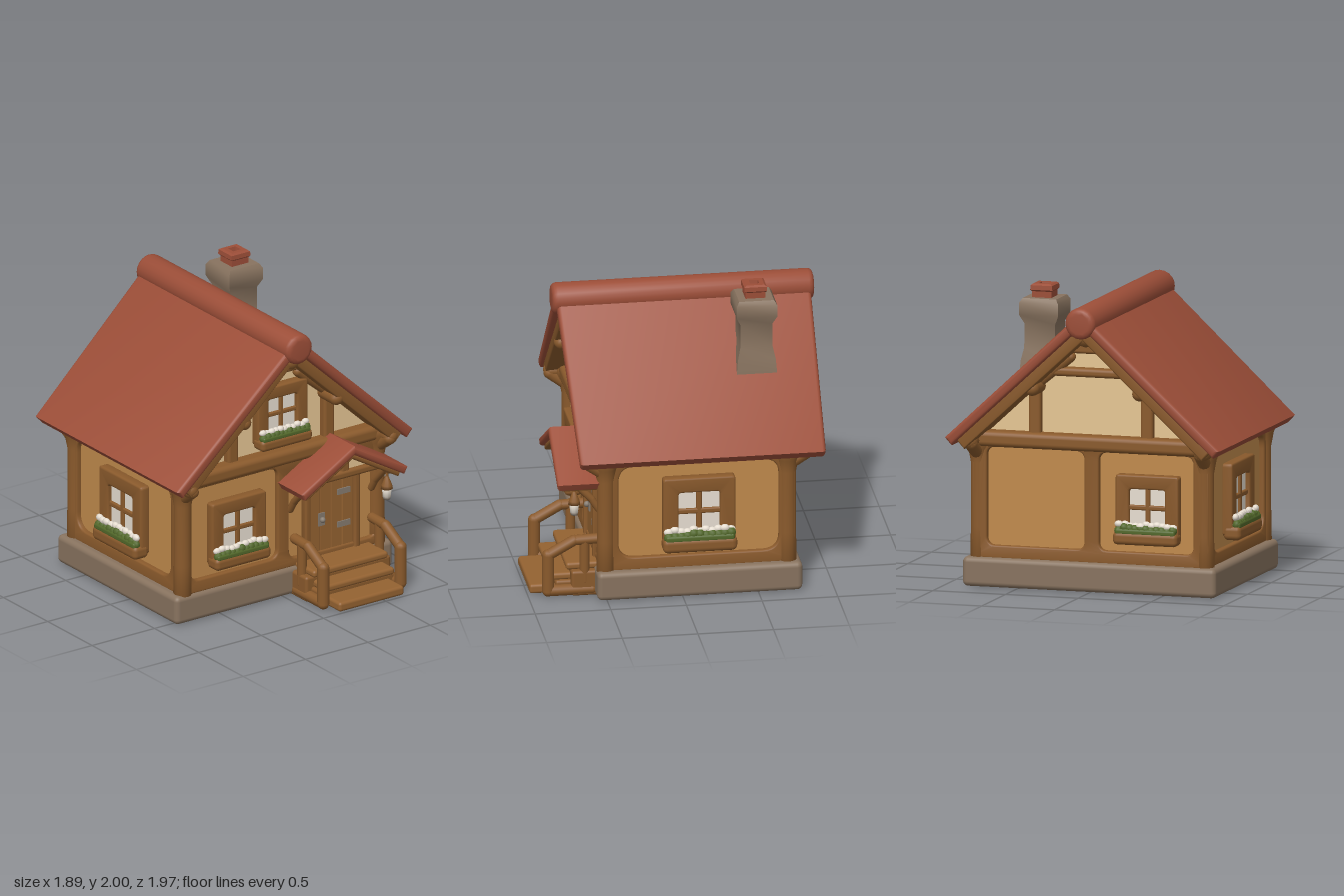
import * as THREE from 'three';
import { toCreasedNormals } from 'three/addons/utils/BufferGeometryUtils.js';
import { RoundedBoxGeometry } from 'three/addons/geometries/RoundedBoxGeometry.js';

const paint = (name, color) => {
  const m = new THREE.MeshStandardMaterial({ color });
  m.name = name;
  return m;
};
const M = {
  roof: paint('roof red', 0x9c4e38), timber: paint('timber brown', 0x8a5a2c),
  door: paint('door wood', 0x946231), plaster: paint('ochre plaster', 0xc08a4c),
  cream: paint('cream plaster', 0xe6c694), stone: paint('grey stone', 0x88735f),
  leaf: paint('leaf green', 0x52682a), white: paint('petal and pane white', 0xe8dfd2),
  metal: paint('iron grey', 0x857b70),
};

function add(parent, name, geo, mat, x = 0, y = 0, z = 0) {
  const m = new THREE.Mesh(geo, mat);
  m.name = name;
  m.position.set(x, y, z);
  parent.add(m);
  return m;
}

function group(parent, name, x = 0, y = 0, z = 0, turn = 0) {
  const g = new THREE.Group();
  g.name = name;
  g.position.set(x, y, z);
  g.rotation.y = turn;
  parent.add(g);
  return g;
}

// Soft-edged box given by its limits
function block(parent, name, mat, [x0, x1], [y0, y1], [z0, z1], r = 0.02) {
  const w = x1 - x0, h = y1 - y0, d = z1 - z0;
  const geo = new RoundedBoxGeometry(w, h, d, 3, Math.min(r, w / 2.1, h / 2.1, d / 2.1));
  return add(parent, name, geo, mat, (x0 + x1) / 2, (y0 + y1) / 2, (z0 + z1) / 2);
}

// Round bar between two points
function bar(parent, name, mat, a, b, r) {
  const A = new THREE.Vector3(...a), B = new THREE.Vector3(...b);
  const dir = B.clone().sub(A);
  const m = add(parent, name, new THREE.CapsuleGeometry(r, dir.length(), 5, 12), mat);
  m.position.copy(A).lerp(B, 0.5);
  m.quaternion.setFromUnitVectors(new THREE.Vector3(0, 1, 0), dir.normalize());
  return m;
}

// Outline extruded from z0 to z1 with a soft bevel
function prism(shape, z0, z1, b = 0.012) {
  const g = new THREE.ExtrudeGeometry(shape, {
    depth: z1 - z0 - 2 * b, bevelEnabled: b > 0, bevelSize: b, bevelThickness: b,
    bevelOffset: -b, bevelSegments: 3, curveSegments: 10,
  });
  g.translate(0, 0, z0 + b);
  return toCreasedNormals(g, 0.7);
}

const poly = pts => new THREE.Shape(pts.map(p => new THREE.Vector2(...p)));

function roundRect(x0, x1, y0, y1, r, Type = THREE.Shape) {
  const s = new Type();
  s.moveTo(x0 + r, y0).lineTo(x1 - r, y0).quadraticCurveTo(x1, y0, x1, y0 + r)
    .lineTo(x1, y1 - r).quadraticCurveTo(x1, y1, x1 - r, y1)
    .lineTo(x0 + r, y1).quadraticCurveTo(x0, y1, x0, y1 - r)
    .lineTo(x0, y0 + r).quadraticCurveTo(x0, y0, x0 + r, y0);
  return s;
}

// Timber sheet with rounded openings, each [x0, x1, y0, y1]
function frame(parent, name, outer, holes, z0, z1, r) {
  const s = roundRect(...outer, 0.02);
  for (const h of holes) s.holes.push(roundRect(...h, r, THREE.Path));
  return add(parent, name, prism(s, z0, z1), M.timber);
}

// Pitched roof section: two slopes of even thickness t
function chevron(cx, apex, ex, ey, t) {
  const len = Math.hypot(ex, apex - ey), dx = ex / len, dy = (ey - apex) / len;
  const ix = ex + dy * t, iy = ey - dx * t;
  return poly([[cx, apex], [cx - ex, ey], [cx - ix, iy], [cx, apex - t / dx], [cx + ix, iy], [cx + ex, ey]]);
}

function lathe(points, sides, square) {
  const k = square ? Math.SQRT2 : 1;
  const g = new THREE.LatheGeometry(points.map(([r, y]) => new THREE.Vector2(r * k, y)), sides, square ? Math.PI / 4 : 0);
  return square ? toCreasedNormals(g, 0.6) : g;
}

// Window facing +z with a planter under it
function makeWindow(parent, name, x, y, z, scale, seed) {
  const g = group(parent, name, x, y, z);
  g.scale.set(scale, scale, 1);
  const rand = () => (seed = (seed * 16807) % 2147483647) / 2147483647;
  frame(g, 'windowFrame', [-0.21, 0.21, -0.21, 0.21], [[-0.12, 0.12, -0.12, 0.12]], -0.01, 0.065, 0.02);
  add(g, 'panes', new THREE.BoxGeometry(0.25, 0.25, 0.008), M.white, 0, 0, 0.03);
  block(g, 'muntin', M.timber, [-0.016, 0.016], [-0.13, 0.13], [0.02, 0.05], 0.01);
  block(g, 'crossMuntin', M.timber, [-0.13, 0.13], [-0.016, 0.016], [0.02, 0.05], 0.01);
  block(g, 'planter', M.timber, [-0.215, 0.215], [-0.235, -0.15], [0, 0.12], 0.03);
  block(g, 'foliage', M.leaf, [-0.2, 0.2], [-0.17, -0.13], [0.02, 0.115], 0.015);
  for (let i = 0; i < 11; i++) {
    const px = -0.18 + i * 0.036;
    const leaf = add(g, 'leaf', new THREE.IcosahedronGeometry(0.03, 1), M.leaf, px, -0.145 + rand() * 0.02, 0.085);
    leaf.scale.z = 0.9;
    const bloom = add(g, 'bloom', new THREE.IcosahedronGeometry(0.022, 1), M.white, px, -0.118 + rand() * 0.018, 0.065 + rand() * 0.02);
    bloom.scale.x = 1.3;
  }
}

export function createModel() {
  const house = new THREE.Group();
  house.name = 'cottage';

  // Foundation and wall core
  block(house, 'plinth', M.stone, [-0.87, 0.87], [0.004, 0.2], [-0.79, 0.565], 0.035);
  add(house, 'floorUnderside', new THREE.BoxGeometry(1.46, 0.008, 1.08), M.timber, 0, 0.004, -0.11);
  block(house, 'wallCore', M.plaster, [-0.78, 0.78], [0.15, 1.0], [-0.72, 0.51], 0.01);

  // Timber framing, wall by wall
  frame(house, 'frontFrame', [-0.8, 0.8, 0.19, 1.03],
    [[-0.735, -0.04, 0.28, 0.92], [0.05, 0.75, 0.25, 0.86]], 0.49, 0.545, 0.07);
  makeWindow(house, 'frontWindow', -0.37, 0.58, 0.51, 1.03, 11);
  for (const s of [-1, 1]) {
    const side = group(house, s > 0 ? 'leftWall' : 'rightWall', s * 0.78, 0, -0.11, s * Math.PI / 2);
    frame(side, 'sideFrame', [-0.64, 0.64, 0.19, 1.0], [[-0.53, 0.53, 0.28, 0.92]], -0.02, 0.035, 0.11);
    makeWindow(side, 'sideWindow', 0, 0.59, 0, 1.14, 23 + s);
  }
  const back = group(house, 'backWall', 0, 0, -0.72, Math.PI);
  frame(back, 'backFrame', [-0.8, 0.8, 0.19, 1.03], [[-0.71, -0.04, 0.28, 0.93], [0.06, 0.71, 0.28, 0.93]], -0.02, 0.035, 0.06);
  makeWindow(back, 'backWindow', 0.4, 0.58, 0, 1.03, 37);

  // Corner posts flaring under the eaves
  const postGeo = lathe([[0, 0.19], [0.062, 0.19], [0.058, 0.4], [0.058, 0.82], [0.075, 0.91], [0.1, 0.97], [0.09, 1.02], [0, 1.02]], 16);
  for (const x of [-0.775, 0.775]) for (const z of [0.5, -0.7]) add(house, 'cornerPost', postGeo, M.timber, x, 0, z);

  // Gables
  add(house, 'gableWall', prism(poly([[-0.78, 1], [0.78, 1], [0, 1.74]]), -0.7, 0.48, 0), M.cream);
  for (const [end, z, turn] of [['front', 0.48, 0], ['back', -0.7, Math.PI]]) {
    const g = group(house, end + 'Gable', 0, 0, z, turn);
    block(g, 'tieBeam', M.timber, [-0.82, 0.82], [0.935, 1.04], [-0.03, 0.1], 0.035);
    for (const s of [-1, 1]) {
      block(g, 'gableStud', M.timber, [s * 0.385 - 0.042, s * 0.385 + 0.042], [1, 1.4], [-0.03, 0.05], 0.02);
      bar(g, 'kneeBrace', M.timber, [s * 0.36, 1.37, 0.03], [s * 0.14, 1.55, 0.03], 0.035);
    }
    if (turn) block(g, 'collarBeam', M.timber, [-0.27, 0.27], [1.42, 1.48], [-0.03, 0.06], 0.025);
    block(g, 'collar', M.timber, [-0.12, 0.12], [1.58, 1.68], [-0.03, 0.08], 0.02);
  }
  makeWindow(house, 'gableWindow', 0, 1.3, 0.48, 0.95, 51);

  // Purlins showing at both ends
  for (const [x, y, r] of [[-0.8, 0.975, 0.055], [0.8, 0.975, 0.055], [-0.37, 1.345, 0.05], [0.37, 1.345, 0.05], [0, 1.7, 0.065]])
    bar(house, 'purlin', M.timber, [x, y, -0.84], [x, y, 0.62], r);
  for (const s of [-1, 1]) for (const [z0, z1] of [[0.52, 0.63], [-0.72, -0.84]])
    bar(house, 'eaveBracket', M.timber, [s * 0.78, 0.88, z0], [s * 0.79, 0.96, z1], 0.045);

  // Main roof, its ends drawn in towards the eaves
  add(house, 'rafters', prism(chevron(0, 1.795, 0.87, 0.99, 0.08), -0.91, 0.665), M.timber);
  const roofGeo = prism(chevron(0, 1.88, 0.945, 1.005, 0.07), -0.965, 0.72, 0.025);
  const p = roofGeo.attributes.position;
  for (let i = 0; i < p.count; i++)
    p.setZ(i, -0.12 + (p.getZ(i) + 0.12) * (1 - 0.04 * Math.abs(p.getX(i))));
  add(house, 'roof', roofGeo, M.roof);
  const ring = new THREE.Shape().absarc(0, 1.808, 0.104, 0, Math.PI * 2);
  add(house, 'ridgeRoll', prism(ring, -0.985, 0.745, 0.035), M.roof);

  // Chimney
  add(house, 'chimney', lathe([[0, 1.38], [0.135, 1.38], [0.125, 1.5], [0.107, 1.58], [0.105, 1.74], [0.134, 1.8], [0.134, 1.88], [0.115, 1.91], [0, 1.91]], 4, true), M.stone, 0.38, 0, -0.54);
  add(house, 'chimneyPot', lathe([[0, 1.9], [0.066, 1.9], [0.066, 1.95], [0.076, 1.96], [0.074, 1.99], [0.06, 2], [0.03, 2], [0.025, 1.97], [0, 1.97]], 4, true), M.roof, 0.38, 0, -0.54);

  // Door
  const door = group(house, 'door', 0.39, 0, 0.51);
  frame(door, 'doorFrame', [-0.22, 0.22, 0.19, 0.84], [[-0.175, 0.175, 0.21, 0.79]], -0.01, 0.05, 0.02);
  for (let i = 0; i < 4; i++)
    block(door, 'doorPlank', M.door, [-0.18 + i * 0.09, -0.091 + i * 0.09], [0.2, 0.8], [-0.01, 0.025], 0.006);
  for (const y of [0.4, 0.63]) add(door, 'hinge', new THREE.BoxGeometry(0.1, 0.04, 0.009), M.metal, 0.1, y, 0.029);
  add(door, 'handlePlate', new THREE.BoxGeometry(0.05, 0.09, 0.009), M.metal, -0.08, 0.47, 0.029);
  add(door, 'handle', new THREE.SphereGeometry(0.02, 12, 8), M.metal, -0.08, 0.47, 0.045);

  // Porch roof with braces
  add(house, 'porchRoof', prism(chevron(0.385, 1.06, 0.425, 0.815, 0.055), 0.5, 0.82, 0.02), M.roof);
  add(house, 'porchRafters', prism(chevron(0.385, 1.0, 0.385, 0.78, 0.035), 0.5, 0.79), M.timber);
  block(house, 'porchTie', M.timber, [0.06, 0.71], [0.8, 0.855], [0.66, 0.72], 0.02);
  add(house, 'porchGable', prism(poly([[0.16, 0.84], [0.61, 0.84], [0.385, 0.965]]), 0.67, 0.69, 0), M.cream);
  block(house, 'porchKingPost', M.timber, [0.35, 0.42], [0.82, 0.97], [0.66, 0.71], 0.02);
  for (const x of [0.06, 0.71]) {
    bar(house, 'porchBeam', M.timber, [x, 0.8, 0.52], [x, 0.8, 0.74], 0.033);
    bar(house, 'porchBrace', M.timber, [x, 0.6, 0.54], [x, 0.67, 0.585], 0.024);
    bar(house, 'porchBrace', M.timber, [x, 0.67, 0.585], [x, 0.79, 0.7], 0.024);
  }

  // Hanging lantern
  const lantern = group(house, 'lantern', 0.72, 0, 0.7);
  bar(lantern, 'lanternHook', M.timber, [0, 0.73, 0], [0, 0.8, 0], 0.01);
  add(lantern, 'lanternCap', lathe([[0, 0.645], [0.04, 0.645], [0.035, 0.67], [0.012, 0.73], [0, 0.74]], 12), M.timber);
  add(lantern, 'lanternGlass', lathe([[0, 0.585], [0.025, 0.585], [0.034, 0.65], [0, 0.65]], 12), M.white);
  add(lantern, 'lanternBase', lathe([[0, 0.565], [0.022, 0.57], [0.028, 0.59], [0, 0.592]], 12), M.metal);

  // Entrance steps
  block(house, 'landing', M.timber, [0.06, 0.74], [0, 0.175], [0.5, 0.72]);
  block(house, 'landingTread', M.door, [0.1, 0.7], [0.17, 0.22], [0.5, 0.75]);
  block(house, 'middleStep', M.timber, [0.1, 0.7], [0, 0.1], [0.6, 0.82]);
  block(house, 'middleTread', M.door, [0.12, 0.68], [0.095, 0.145], [0.6, 0.85]);
  block(house, 'lowerStep', M.door, [0.14, 0.66], [0, 0.065], [0.6, 0.985]);

  // Handrails on both sides
  for (const x of [0.09, 0.71]) {
    bar(house, 'newelPost', M.timber, [x, 0.04, 0.87], [x, 0.29, 0.87], 0.04);
    bar(house, 'footRail', M.timber, [x, 0.04, 0.58], [x, 0.04, 0.85], 0.038);
    bar(house, 'baluster', M.timber, [x, 0.1, 0.63], [x, 0.38, 0.63], 0.032);
    bar(house, 'handrail', M.timber, [x, 0.29, 0.87], [x, 0.385, 0.7], 0.036);
    bar(house, 'handrail', M.timber, [x, 0.385, 0.7], [x, 0.39, 0.55], 0.034);
  }
  return house;
}
